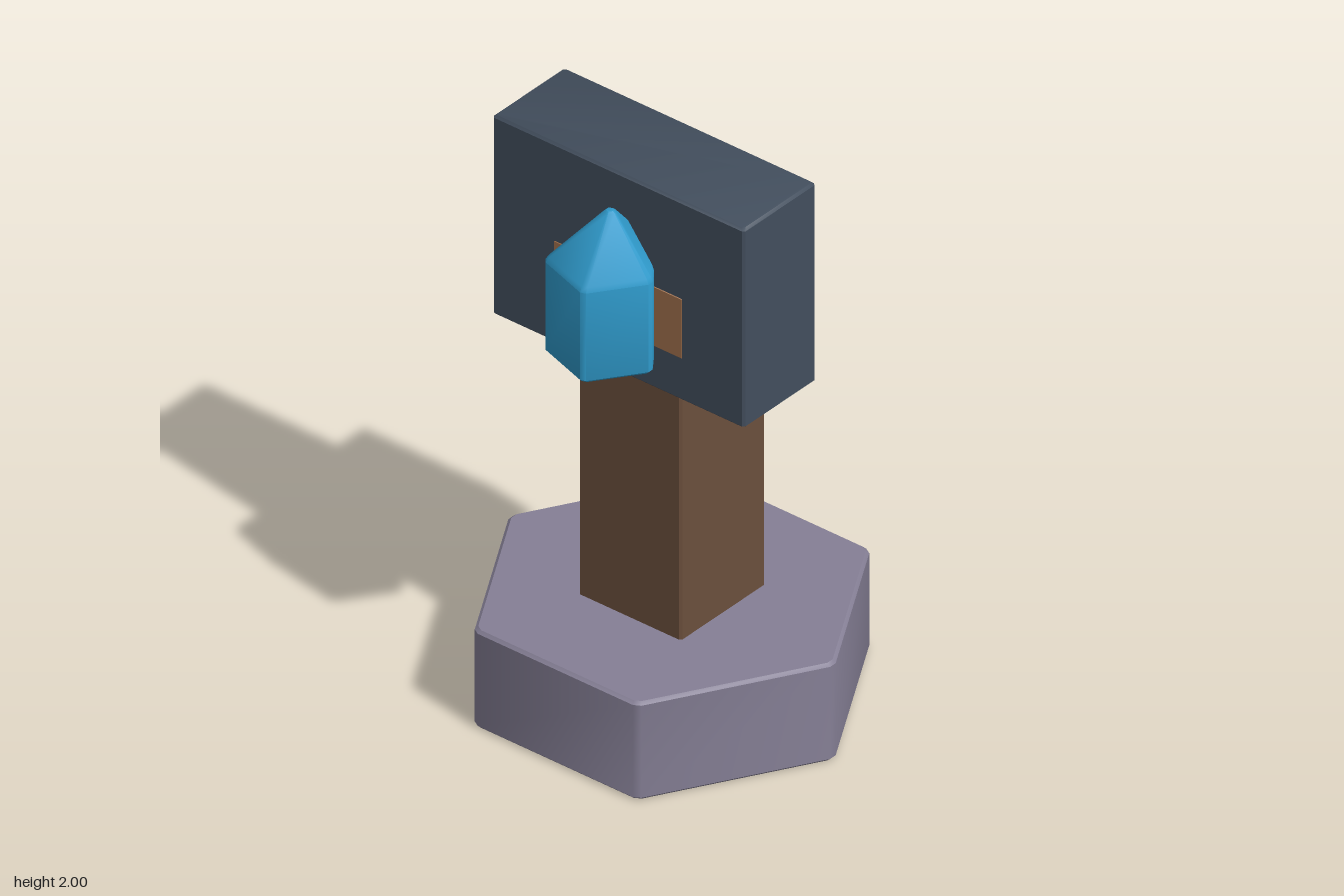
import * as THREE from 'three';
import { toCreasedNormals } from 'three/addons/utils/BufferGeometryUtils.js';

// Cut each corner of a convex outline by c along its edges
function chamfer(points, c) {
  const n = points.length;
  return points.flatMap((p, i) =>
    [points[(i + n - 1) % n], points[(i + 1) % n]].map((q) =>
      p.clone().add(q.clone().sub(p).setLength(c))));
}

function regular(sides, radius) {
  return Array.from({ length: sides }, (_, i) => {
    const a = (i / sides) * Math.PI * 2;
    return new THREE.Vector2(Math.cos(a) * radius, Math.sin(a) * radius);
  });
}

// Closed solid from scaled copies of an outline; level = [y, scaleX, scaleZ, shiftX]
function loft(outline, levels) {
  const n = outline.length, pos = [], idx = [];
  for (const [y, sx, sz, dx = 0] of levels)
    for (const p of outline) pos.push(p.x * sx + dx, y, p.y * sz);
  for (let l = 0; l < levels.length - 1; l++)
    for (let i = 0; i < n; i++) {
      const a = l * n + i, b = l * n + (i + 1) % n;
      idx.push(a, a + n, b, b, a + n, b + n);
    }
  const top = (levels.length - 1) * n;
  for (let i = 1; i < n - 1; i++) {
    idx.push(0, i, i + 1);
    idx.push(top, top + i + 1, top + i);
  }
  const g = new THREE.BufferGeometry();
  g.setAttribute('position', new THREE.Float32BufferAttribute(pos, 3));
  g.setIndex(idx);
  return toCreasedNormals(g, 0.7);
}

// Levels of a prism with bevelled top and bottom rims
function rimmed(y0, y1, bevel, halfX, halfZ) {
  const sx = 1 - bevel / halfX, sz = 1 - bevel / halfZ;
  return [[y0, sx, sz], [y0 + bevel, 1, 1], [y1 - bevel, 1, 1], [y1, sx, sz]];
}

function bevelBox(halfX, halfZ, y0, y1, bevel) {
  const corners = [[1, -1], [1, 1], [-1, 1], [-1, -1]]
    .map(([x, z]) => new THREE.Vector2(x * halfX, z * halfZ));
  return loft(chamfer(corners, bevel), rimmed(y0, y1, bevel, halfX, halfZ));
}

export function createModel() {
  const model = new THREE.Group();
  const add = (name, geometry, color, z = 0) => {
    const mesh = new THREE.Mesh(geometry, new THREE.MeshStandardMaterial({ color }));
    mesh.name = name;
    mesh.position.z = z;
    model.add(mesh);
  };

  // Hexagonal foot
  add('base', loft(chamfer(regular(6, 0.64), 0.015), rimmed(0, 0.355, 0.01, 0.554, 0.554)), 0x857f95);
  // Square upright
  add('post', bevelBox(0.202, 0.202, 0.34, 1.5, 0.008), 0x6b4f3c);
  // Block through the head, its front just proud of the slab
  add('crossBlock', bevelBox(0.258, 0.258, 1.423, 1.652, 0.008), 0xa0704c);
  // Upright slab
  add('head', bevelBox(0.495, 0.171, 1.275, 2, 0.008), 0x424e5d, 0.085);
  // Five-sided crystal with a slightly offset tip
  add('crystal', loft(chamfer(regular(5, 0.187), 0.012), [
    [1.378, 0.95, 0.95],
    [1.387, 1, 1],
    [1.705, 1, 1],
    [1.722, 0.95, 0.95, 0.002],
    [1.9, 0.11, 0.11, 0.02],
    [1.906, 0.07, 0.07, 0.02],
  ]), 0x2f9acb, 0.319);

  return model;
}
